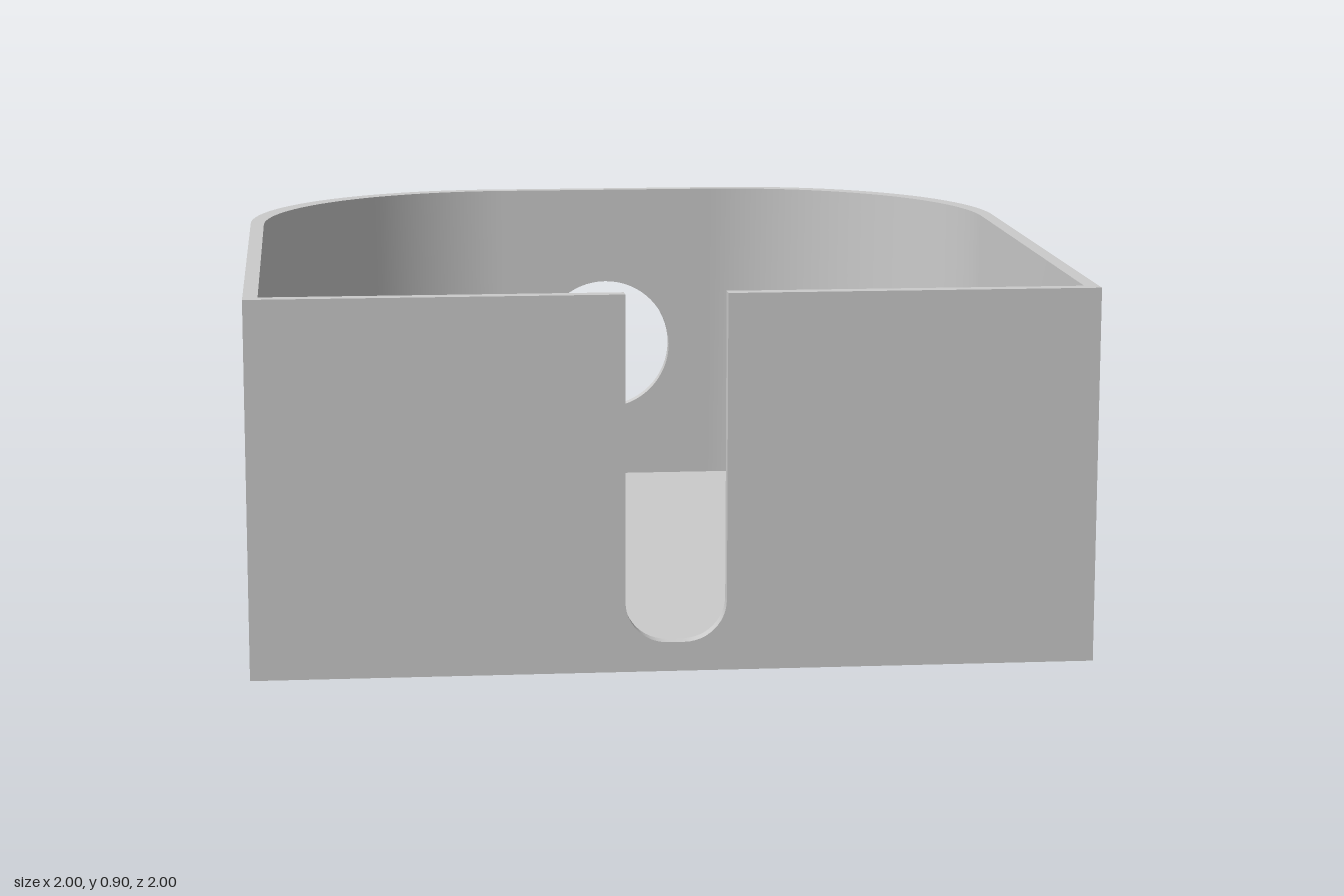
import * as THREE from 'three';
import { mergeGeometries, toCreasedNormals } from 'three/addons/utils/BufferGeometryUtils.js';

const H = 0.9, FLOOR = 0.07;            // rim height, floor height
const OUT = 1, IN = 0.965, R = 0.67;    // outer and inner half widths, back corner radius

// Points on a circular arc, angles in degrees
function arc(cx, cy, r, from, to, n) {
  return Array.from({ length: n + 1 }, (_, i) => {
    const t = THREE.MathUtils.degToRad(from + (to - from) * i / n);
    return [cx + r * Math.cos(t), cy + r * Math.sin(t)];
  });
}

// Quads between two equally long rows of 3D points
function strip(a, b) {
  const p = [];
  for (let i = 0; i < a.length - 1; i++) {
    p.push(...a[i], ...a[i + 1], ...b[i + 1], ...a[i], ...b[i + 1], ...b[i]);
  }
  return new THREE.BufferGeometry().setAttribute('position', new THREE.Float32BufferAttribute(p, 3));
}

// Turn every triangle over
function flip(geo) {
  const p = geo.attributes.position.array;
  for (let i = 0; i < p.length; i += 9) {
    for (let k = 0; k < 3; k++) [p[i + 3 + k], p[i + 6 + k]] = [p[i + 6 + k], p[i + 3 + k]];
  }
  return geo;
}

// Flat face in the xy plane, facing +z
function face(points) {
  const shape = new THREE.Shape(points.map(([x, y]) => new THREE.Vector2(x, y)));
  const geo = new THREE.ShapeGeometry(shape).toNonIndexed();
  geo.deleteAttribute('normal');
  geo.deleteAttribute('uv');
  return geo;
}

const atY = (pts, y) => pts.map(([x, z]) => [x, y, z]);
const atZ = (pts, z) => pts.map(([x, y]) => [x, y, z]);

// Left half of the plan: front corner, straight side, rounded back corner
const plan = w => [[w, w], ...arc(w - R, R - w, R, 0, -90, 32)];

function halfShell() {
  const outer = plan(OUT), inner = plan(IN);
  const slot = [[0.12, H], ...arc(0.02, 0.17, 0.1, 0, -90, 12)];
  const hole = arc(0, 0.45, 0.185, 90, -90, 32);
  const rim = (pts, w) => atY([[0.12, w], ...pts, [0, -w]], H);
  const backPanel = (x, y) => face([[0, y], [x, y], [x, H], [0, H], ...hole]);
  const slab = (pts, w) => face([[0, w], ...pts, [0, -w]]).rotateX(Math.PI / 2);

  return mergeGeometries([
    // underside and floor
    slab(outer, OUT),
    flip(slab(inner, IN)).translate(0, FLOOR, 0),
    // side walls and rim
    strip(atY(outer, 0), atY(outer, H)),
    strip(atY(inner, H), atY(inner, FLOOR)),
    strip(rim(outer, OUT), rim(inner, IN)),
    // front wall with open slot
    face([[0, 0], [OUT, 0], [OUT, H], ...slot, [0, FLOOR]]).translate(0, 0, OUT),
    flip(face([[IN, FLOOR], [IN, H], ...slot])).translate(0, 0, IN),
    strip(atZ([...slot, [0, FLOOR]], IN), atZ([...slot, [0, FLOOR]], OUT)),
    // back wall with round hole
    flip(backPanel(OUT - R, 0)).translate(0, 0, -OUT),
    backPanel(IN - R, FLOOR).translate(0, 0, -IN),
    strip(atZ(hole, -OUT), atZ(hole, -IN)),
  ]);
}

export function createModel() {
  const group = new THREE.Group();
  group.name = 'openTray';
  const half = halfShell();
  const mirrored = flip(half.clone().scale(-1, 1, 1));
  const geo = toCreasedNormals(mergeGeometries([half, mirrored]), 0.5);
  const shell = new THREE.Mesh(geo, new THREE.MeshStandardMaterial({ color: 0xcccccc }));
  shell.name = 'trayShell';
  group.add(shell);
  return group;
}
